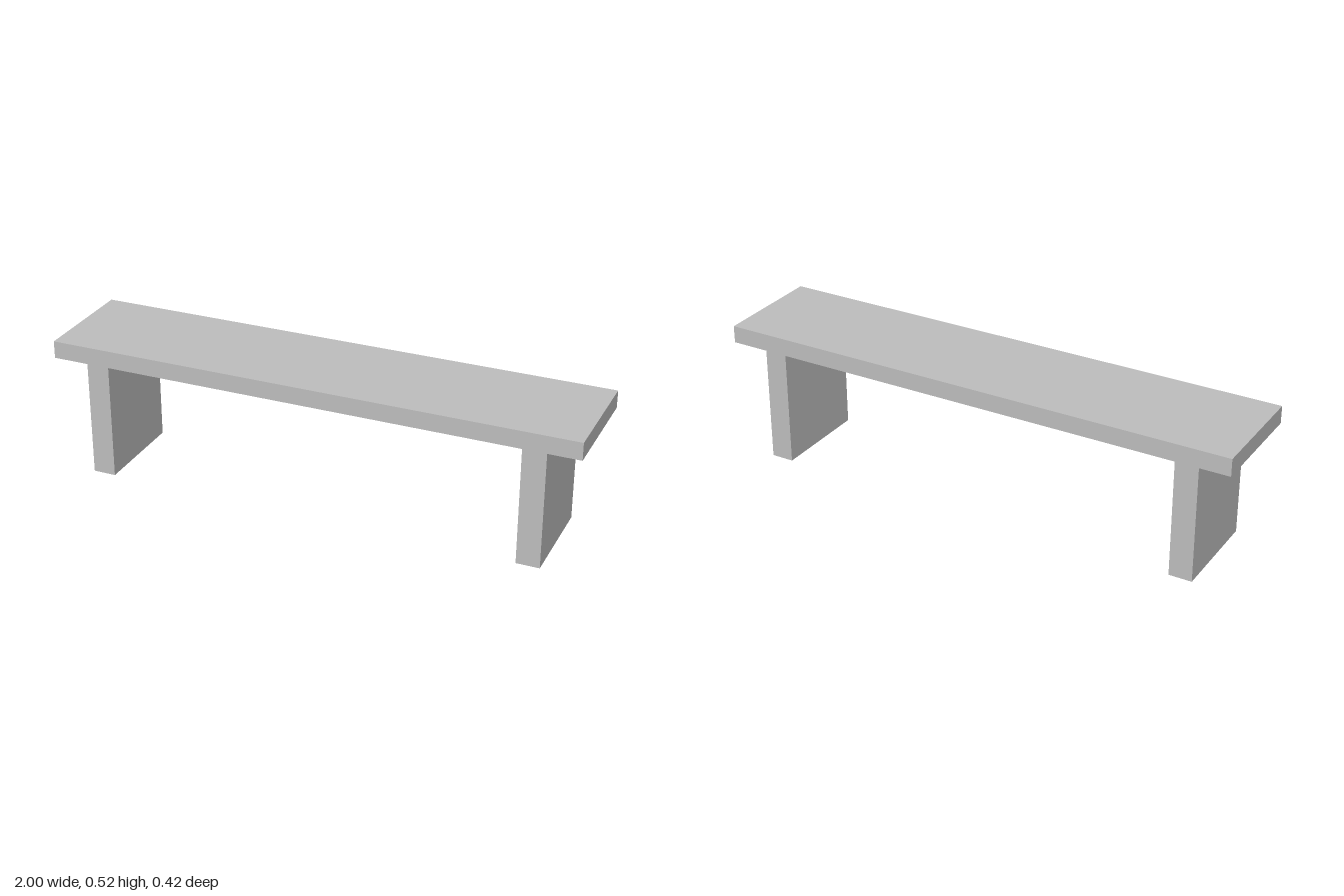
import * as THREE from 'three';

export function createModel() {
  const model = new THREE.Group();
  model.name = 'bench';
  const grey = new THREE.MeshStandardMaterial({ color: 0xbcbcbc });
  grey.name = 'stone grey';

  const seatBottom = 0.457;
  const seatTop = 0.523;

  // Adds a box spanning bottom to top, centred on z = 0
  function addSlab(name, x, bottom, top, width, depth) {
    const slab = new THREE.Mesh(new THREE.BoxGeometry(width, top - bottom, depth), grey);
    slab.name = name;
    slab.position.set(x, (bottom + top) / 2, 0);
    model.add(slab);
  }

  // Long plank seat
  addSlab('seat', 0, seatBottom, seatTop, 2, 0.423);

  // Two upright slab legs, inset from the ends
  addSlab('leftLeg', 0.83, 0, seatBottom, 0.087, 0.378);
  addSlab('rightLeg', -0.834, 0, seatBottom, 0.087, 0.378);

  return model;
}
